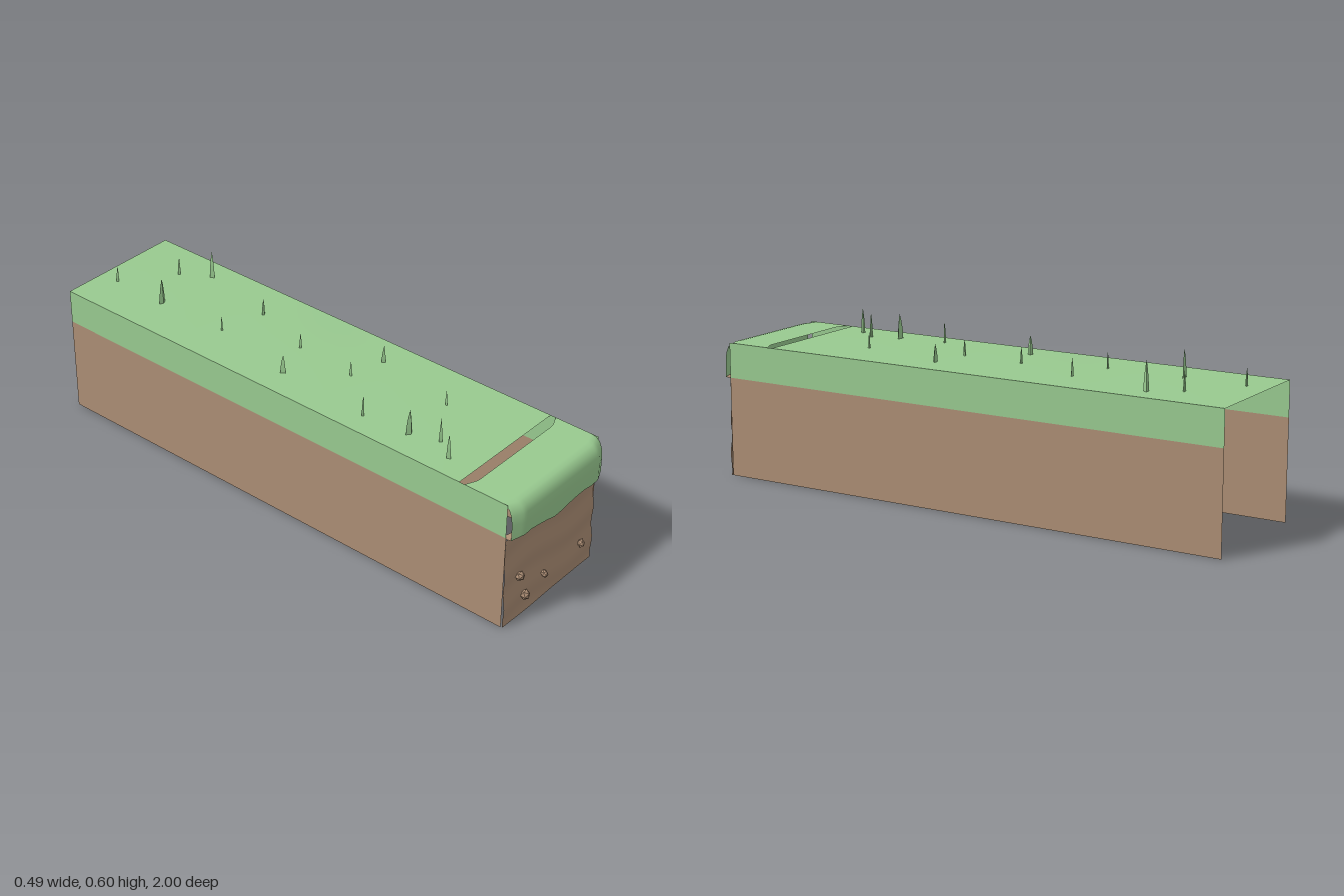
import * as THREE from 'three';

const green = new THREE.MeshStandardMaterial({ color: 0x98c98f, side: THREE.DoubleSide });
green.name = 'grassGreen';
const brown = new THREE.MeshStandardMaterial({ color: 0xab8d74, side: THREE.DoubleSide });
brown.name = 'earthBrown';

const HALF = 0.245, TOP = 0.49, SEAM = 0.362;

// A sheet whose points follow fn(u, v) -> [x, y, z]
function sheet(nu, nv, fn) {
  const g = new THREE.PlaneGeometry(1, 1, nu, nv);
  const p = g.attributes.position;
  for (let i = 0; i < p.count; i++) p.setXYZ(i, ...fn(p.getX(i) + 0.5, p.getY(i) + 0.5));
  g.computeVertexNormals();
  return g;
}

// Linear interpolation through [key, value] pairs
function lerpPairs(pairs, t) {
  for (let i = 1; i < pairs.length; i++) {
    const [a, va] = pairs[i - 1], [b, vb] = pairs[i];
    if (t <= b) return THREE.MathUtils.lerp(va, vb, (t - a) / (b - a));
  }
  return pairs[pairs.length - 1][1];
}

// Ragged lower edge of the turf lip: [x, y]
const hem = [[-0.245, 0.362], [-0.2, 0.371], [-0.165, 0.374], [-0.12, 0.367], [-0.08, 0.36],
  [-0.04, 0.35], [0, 0.352], [0.04, 0.358], [0.08, 0.362], [0.125, 0.364], [0.165, 0.358],
  [0.2, 0.362], [0.245, 0.363]];

// Lip section from the hem up and back: [z, y]
const lipSection = [[1, 0], [1, 0.42], [0.996, 0.452], [0.986, 0.476], [0.968, 0.487], [0.95, TOP], [0.81, TOP]];

// The lip turns back slightly at both ends
const cornerShift = (x) => -0.02 * THREE.MathUtils.clamp((Math.abs(x) - 0.2) / 0.045, 0, 1);

// [x, z, height, width, depth] of each grass blade
const blades = [
  [-0.08, -0.92, 0.062, 0.012, 0.008], [0.1, -0.785, 0.07, 0.014, 0.008],
  [-0.085, -0.69, 0.1, 0.027, 0.008], [0.163, -0.68, 0.105, 0.018, 0.018],
  [-0.08, -0.405, 0.06, 0.01, 0.006], [0.092, -0.365, 0.065, 0.016, 0.006],
  [0.012, -0.12, 0.062, 0.011, 0.008], [-0.14, -0.065, 0.07, 0.02, 0.018],
  [-0.005, 0.12, 0.058, 0.008, 0.01], [0.135, 0.15, 0.064, 0.02, 0.012],
  [-0.16, 0.305, 0.08, 0.014, 0.006], [-0.14, 0.485, 0.093, 0.032, 0.014],
  [0.065, 0.475, 0.06, 0.004, 0.01], [-0.11, 0.59, 0.09, 0.013, 0.01],
  [-0.165, 0.665, 0.09, 0.014, 0.015],
];

// [x, y, radius] of each pebble
const pebbles = [[-0.165, 0.168, 0.019], [-0.14, 0.08, 0.02], [-0.035, 0.102, 0.015], [0.175, 0.102, 0.016]];

export function createModel() {
  const model = new THREE.Group();
  model.name = 'groundBlock';
  const add = (name, geometry, material, parent = model) => {
    const mesh = new THREE.Mesh(geometry, material);
    mesh.name = name;
    parent.add(mesh);
    return mesh;
  };

  // Long side walls, turf band over earth; back and underside stay open
  for (const s of [-1, 1]) {
    const side = s > 0 ? 'left' : 'right';
    for (const [part, y0, y1, mat] of [['EarthWall', 0, SEAM, brown], ['TurfBand', SEAM, TOP, green]]) {
      const wall = add(side + part, new THREE.PlaneGeometry(1.96, y1 - y0), mat);
      wall.rotation.y = s * Math.PI / 2;
      wall.position.set(s * HALF, (y0 + y1) / 2, -0.02);
    }
  }

  // Turf top with a faint swell towards the middle
  add('turfTop', sheet(8, 24, (u, v) => [
    (u * 2 - 1) * HALF,
    TOP + 0.003 * Math.sin(Math.PI * u) * Math.sin(Math.PI * v) * Math.abs(Math.sin(v * 9)),
    0.77 - v * 1.77,
  ]), green);

  // Rounded turf lip hanging over the front
  add('turfLip', sheet(48, lipSection.length - 1, (u, v) => {
    const x = (u * 2 - 1) * HALF;
    const row = Math.round(v * (lipSection.length - 1));
    const [z, y] = lipSection[row];
    return [x, row === 0 ? lerpPairs(hem, x) : y, z + cornerShift(x)];
  }), green);

  // Earth strip under the lip
  add('lipUnderside', sheet(48, 1, (u, v) => {
    const x = (u * 2 - 1) * HALF;
    return [x, lerpPairs(hem, x) - 0.006 * (1 - v), THREE.MathUtils.lerp(0.96, 1, v) + cornerShift(x)];
  }), brown);

  // Gently rippled earth front
  const frontZ = (x, y) => 0.968 - 0.03 * y
    + 0.003 * Math.sin(2 * Math.PI * y / 0.13 - 2.175 + 0.8 * Math.sin(x * 14));
  add('earthFront', sheet(24, 24, (u, v) => {
    const x = (u * 2 - 1) * HALF, y = v * 0.35;
    return [x, y, frontZ(x, y)];
  }), brown);

  // Faceted pebbles half sunk into the front
  const pebbleGroup = new THREE.Group();
  pebbleGroup.name = 'pebbles';
  model.add(pebbleGroup);
  // Polyhedron geometry with detail 0 is already flat shaded
  const pebbleShape = new THREE.IcosahedronGeometry(1, 0);
  pebbles.forEach(([x, y, r], i) => {
    const pebble = add('pebble', pebbleShape, brown, pebbleGroup);
    pebble.position.set(x, y, frontZ(x, y) + 0.008);
    pebble.scale.set(r, r * 0.85, r * 0.85);
    pebble.rotation.set(i, i * 1.7, i * 0.6);
  });

  // Tapered three-sided grass blades
  const bladeGroup = new THREE.Group();
  bladeGroup.name = 'grassBlades';
  model.add(bladeGroup);
  const profile = [[0.58, 0], [0.5, 0.35], [0.28, 0.72], [0, 1]].map(([r, y]) => new THREE.Vector2(r, y));
  const bladeShape = new THREE.LatheGeometry(profile, 3).toNonIndexed();
  bladeShape.computeVertexNormals();
  for (const [x, z, h, w, d] of blades) {
    const blade = add('grassBlade', bladeShape, green, bladeGroup);
    blade.position.set(x, TOP, z);
    blade.scale.set(w, h, d);
  }

  return model;
}
